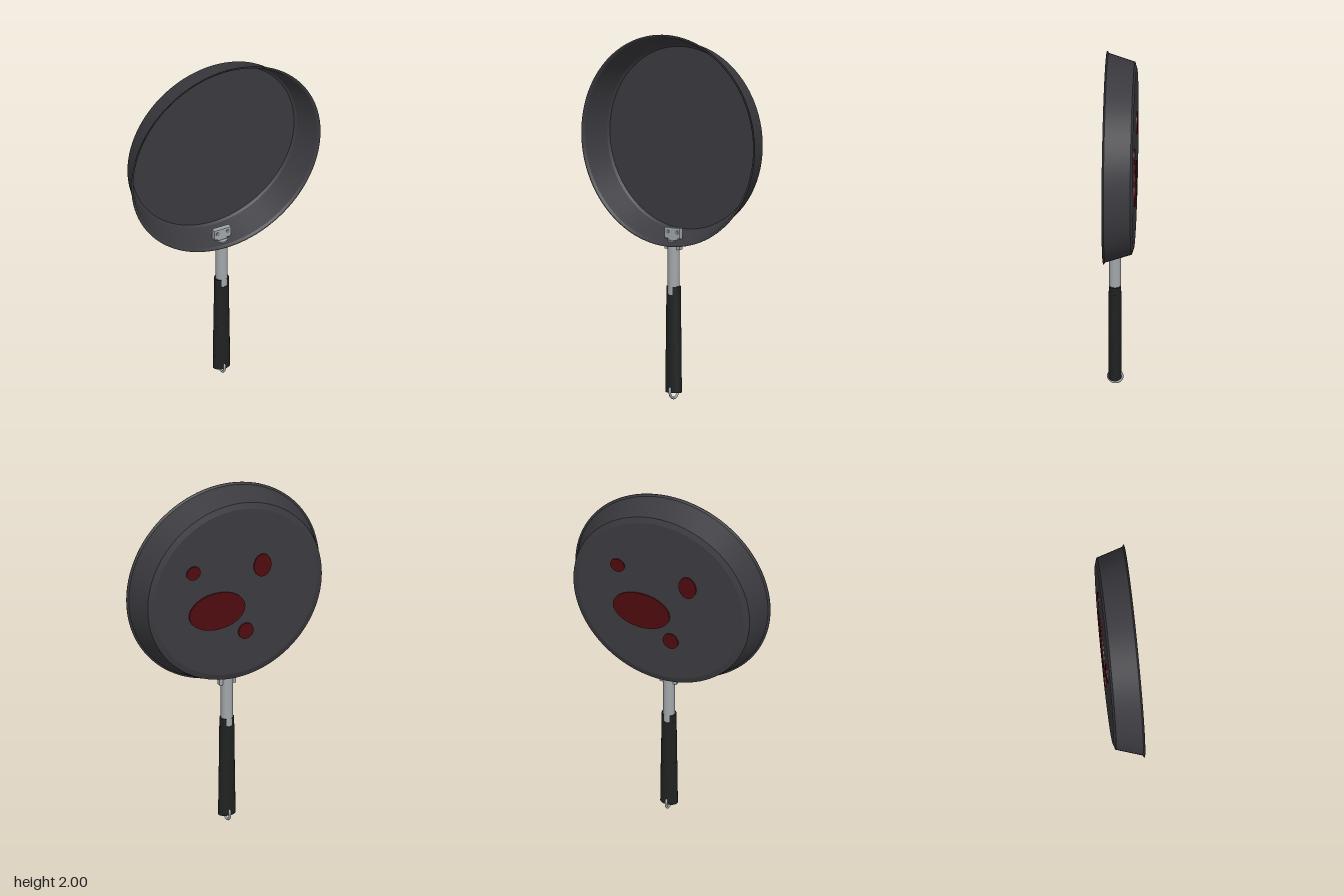
import * as THREE from 'three';
import { toCreasedNormals } from 'three/addons/utils/BufferGeometryUtils.js';

const mat = (name, color, side = THREE.FrontSide) => {
  const m = new THREE.MeshStandardMaterial({ color, side });
  m.name = name;
  return m;
};

export function createModel() {
  const model = new THREE.Group();
  const coating = mat('darkCoating', 0x3b3a3f);
  const metal = mat('steel', 0xa3a7ab);
  const rivetMetal = mat('darkSteel', 0x83878b);
  const rubber = mat('blackGrip', 0x202222, THREE.DoubleSide);
  const red = mat('darkRed', 0x4e0c0e);

  const HZ = 0.032; // depth of the handle axis
  const add = (name, geo, material, x = 0, y = 0, z = 0, parent = model) => {
    const mesh = new THREE.Mesh(geo, material);
    mesh.name = name;
    mesh.position.set(x, y, z);
    parent.add(mesh);
    return mesh;
  };

  // Pan body: thin walled profile turned about the z axis
  const profile = [
    [0, -0.079], [0.49, -0.079], [0.523, -0.068], [0.568, 0.075], [0.579, 0.082],
    [0.579, 0.085], [0.572, 0.084], [0.562, 0.075], [0.51, -0.058], [0.498, -0.068], [0, -0.068],
  ].map(([r, h]) => new THREE.Vector2(r, h));
  const panGeo = new THREE.LatheGeometry(profile, 96);
  panGeo.rotateX(Math.PI / 2);
  add('pan', toCreasedNormals(panGeo, 0.25), coating, 0, 1.42, 0);

  // Red oval spots on the underside: x, y, half width, half height
  const spots = [
    [0.255, 1.585, 0.042, 0.04], [-0.16, 1.55, 0.052, 0.067],
    [0.113, 1.328, 0.168, 0.11], [-0.06, 1.175, 0.045, 0.047],
  ];
  spots.forEach(([x, y, a, b], i) => {
    const geo = new THREE.CylinderGeometry(1, 1, 0.008, 40);
    geo.rotateX(Math.PI / 2);
    geo.scale(a, b, 1);
    add('spot' + (i + 1), geo, red, x, y, -0.082);
  });

  // Metal tube between the pan and the grip
  add('handleTube', new THREE.CylinderGeometry(0.033, 0.033, 0.34, 24), metal, 0, 0.7, HZ);

  // Bracket: outer clip, neck through the wall, inner riveted plate
  const bracket = new THREE.Group();
  bracket.name = 'bracket';
  model.add(bracket);
  add('outerClip', new THREE.BoxGeometry(0.1, 0.045, 0.028), metal, 0, 0.845, HZ, bracket);
  add('neck', new THREE.BoxGeometry(0.058, 0.07, 0.022), metal, 0, 0.865, HZ, bracket);
  add('innerPlate', new THREE.BoxGeometry(0.1, 0.058, 0.028), metal, 0, 0.911, HZ, bracket);
  for (const s of [-1, 1]) {
    const rivet = new THREE.CylinderGeometry(0.011, 0.011, 0.036, 16);
    rivet.rotateX(Math.PI / 2);
    add('rivet', rivet, rivetMetal, s * 0.03, 0.917, HZ, bracket);
  }

  // Grip: oval sections widening in small steps towards the end
  const grip = new THREE.Group();
  grip.name = 'grip';
  model.add(grip);
  const sections = [[0.04, 0.12, 0.05, 0.049], [0.12, 0.31, 0.0485, 0.0465], [0.31, 0.575, 0.0455, 0.042]];
  for (const [y0, y1, w0, w1] of sections) {
    const geo = new THREE.CylinderGeometry(w1, w0, y1 - y0, 20);
    const p = geo.attributes.position;
    for (let i = 0; i < p.count; i++) {
      p.setZ(i, p.getZ(i) * 0.035 / (p.getY(i) > 0 ? w1 : w0));
    }
    geo.computeVertexNormals();
    add('gripSection', geo, rubber, 0, (y0 + y1) / 2, HZ, grip);
  }

  // Two prongs clasping the tube, leaving a notch at front and back
  const prong = [[0.02, 0.57], [0.035, 0.57], [0.035, 0.62], [0.02, 0.62]]
    .map(([r, h]) => new THREE.Vector2(r, h));
  for (const start of [0.4, Math.PI + 0.4]) {
    const geo = new THREE.LatheGeometry(prong, 14, start, Math.PI - 0.8);
    geo.scale(1.18, 1, 1);
    add('gripProng', toCreasedNormals(geo, 0.5), rubber, 0, 0, HZ, grip);
  }

  // Hanging ring at the end of the grip
  const ring = new THREE.TorusGeometry(0.038, 0.007, 10, 32);
  ring.rotateY(Math.PI / 2);
  add('hangingRing', ring, metal, 0, 0.045, 0.03);

  return model;
}
